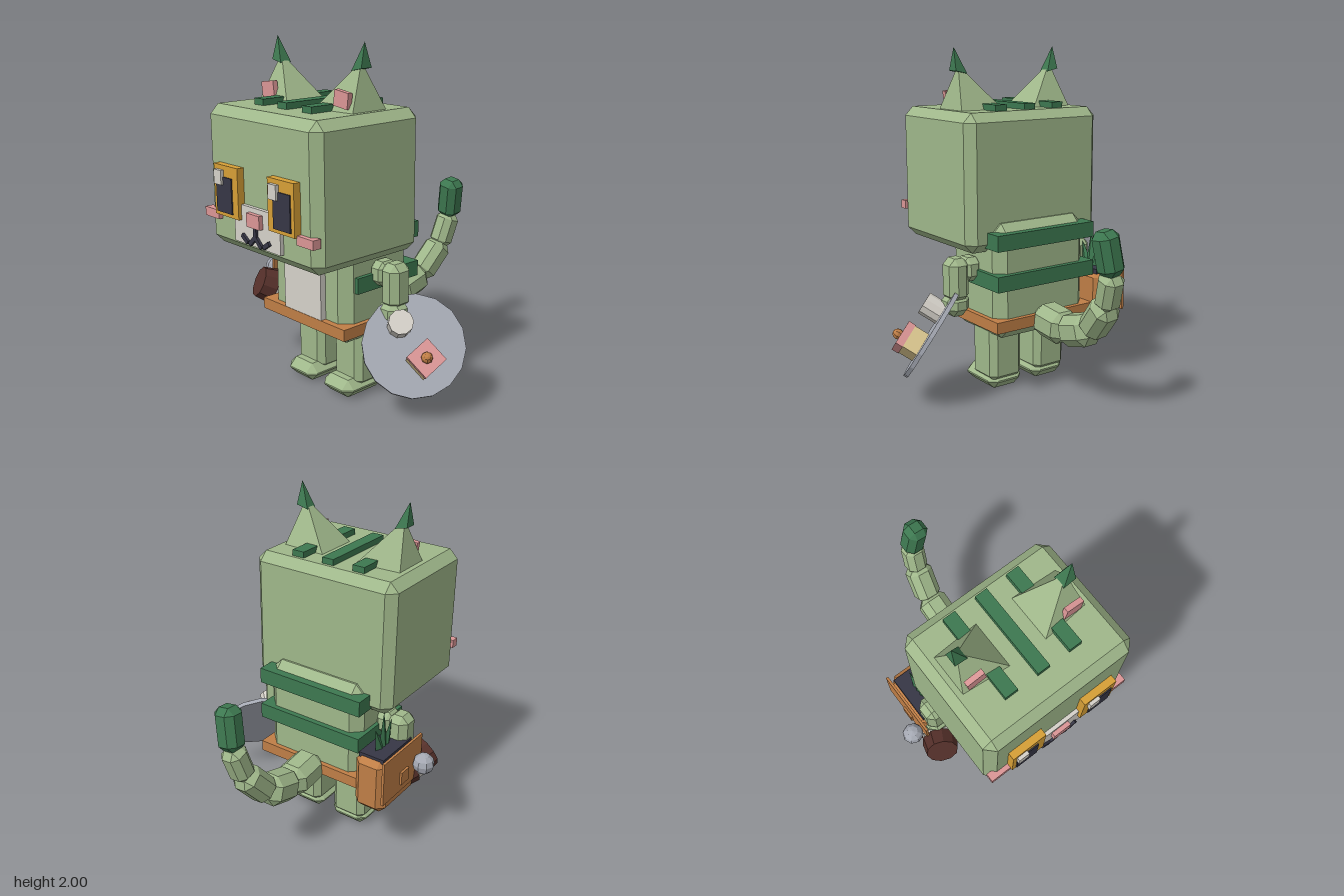
import * as THREE from 'three';
import { ConvexGeometry } from 'three/addons/geometries/ConvexGeometry.js';

const CX = -0.085; // symmetry plane of the body
const mat = (name, color) => {
  const m = new THREE.MeshStandardMaterial({ color, flatShading: true });
  m.name = name;
  return m;
};
const V = (x, y, z) => new THREE.Vector3(x, y, z);
const UP = V(0, 1, 0);

// Box with all edges chamfered by c
function chamferBox(w, h, d, c) {
  const pts = [];
  for (const x of [-1, 1]) for (const y of [-1, 1]) for (const z of [-1, 1]) {
    const [a, b, e] = [w / 2, h / 2, d / 2];
    pts.push(V(x * a, y * (b - c), z * (e - c)), V(x * (a - c), y * b, z * (e - c)), V(x * (a - c), y * (b - c), z * e));
  }
  return new ConvexGeometry(pts);
}

export function createModel() {
  const root = new THREE.Group();
  const green = mat('sageGreen', 0x9fb78a), dark = mat('forestGreen', 0x3d7850);
  const cream = mat('cream', 0xd5d1c9), gold = mat('gold', 0xd69f36);
  const ink = mat('ink', 0x363645), pink = mat('pink', 0xdb9696);
  const leather = mat('leather', 0xbf7e46), brown = mat('darkBrown', 0x55302a);
  const grey = mat('grey', 0xa5a9b3), tan = mat('sponge', 0xdcc890);

  const add = (name, geo, m, x = 0, y = 0, z = 0, parent = root) => {
    const mesh = new THREE.Mesh(geo, m);
    mesh.name = name;
    mesh.position.set(x, y, z);
    parent.add(mesh);
    return mesh;
  };
  // Boxes given by their limits
  const span = (name, m, x0, x1, y0, y1, z0, z1, c = 0) => add(name,
    c ? chamferBox(x1 - x0, y1 - y0, z1 - z0, c) : new THREE.BoxGeometry(x1 - x0, y1 - y0, z1 - z0),
    m, (x0 + x1) / 2, (y0 + y1) / 2, (z0 + z1) / 2);
  // The same box on both sides of the symmetry plane
  const pair = (name, m, x0, x1, ...rest) => {
    span(name + 'Right', m, x0, x1, ...rest);
    span(name + 'Left', m, 2 * CX - x1, 2 * CX - x0, ...rest);
  };

  // Head and face
  span('head', green, -0.548, 0.378, 0.866, 1.65, -0.015, 0.728, 0.052);
  span('muzzle', cream, -0.278, 0.113, 0.935, 1.147, 0.7, 0.75);
  span('nose', pink, -0.14, -0.03, 1.045, 1.12, 0.72, 0.775);
  pair('cheek', pink, -0.548, -0.42, 1.025, 1.075, 0.705, 0.755);
  pair('eyeFrame', gold, -0.425, -0.213, 1.062, 1.343, 0.7, 0.77);
  pair('pupil', ink, -0.4, -0.262, 1.083, 1.28, 0.765, 0.777);
  for (const x of [-0.4, 0.072]) span('eyeHighlight', cream, x, x + 0.064, 1.237, 1.317, 0.765, 0.79);
  span('mouthStem', ink, CX - 0.012, CX + 0.012, 0.98, 1.05, 0.745, 0.765);
  for (const s of [-1, 1]) {
    add('mouthInner', new THREE.BoxGeometry(0.065, 0.024, 0.02), ink, CX + s * 0.028, 0.966, 0.755).rotation.z = -s * 0.75;
    add('mouthOuter', new THREE.BoxGeometry(0.06, 0.024, 0.02), ink, CX + s * 0.092, 0.967, 0.755).rotation.z = s * 0.6;
  }

  // Crown stripes
  span('crownStripe', dark, -0.122, -0.048, 1.62, 1.685, 0.055, 0.56);
  pair('sideCrownStripe', dark, -0.322, -0.246, 1.62, 1.685, 0.055, 0.56);

  // Ears: leaning pyramids with dark tips
  for (const s of [-1, 1]) {
    const base = (x, z) => V(CX + s * x, 1.635, z);
    add('ear', new ConvexGeometry([base(0.385, 0.17), base(0.1, 0.155), base(0.1, 0.445), base(0.385, 0.42),
      V(CX + s * 0.325, 1.9, 0.298)]), green);
    const tip = [[-1, -1], [-1, 1], [1, -1], [1, 1]].map(([a, b]) => V(CX + s * (0.325 + a * 0.037), 1.86 + a * 0.008, 0.298 + b * 0.037));
    add('earTip', new ConvexGeometry([...tip, V(CX + s * 0.352, 2.0, 0.3)]), dark);
    add('innerEar', new THREE.BoxGeometry(0.105, 0.085, 0.03), pink, CX + s * 0.3, 1.715, 0.405).rotation.z = -s * 0.13;
  }

  // Torso
  span('body', green, -0.405, 0.238, 0.357, 1.03, -0.088, 0.42, 0.062);
  span('belly', cream, -0.235, 0.077, 0.45, 0.9, 0.4, 0.455);
  span('belt', leather, -0.435, 0.267, 0.42, 0.486, -0.117, 0.457);
  for (const [y0, y1] of [[0.66, 0.75], [0.893, 0.985]]) span('bodyStripe', dark, -0.428, 0.262, y0, y1, -0.12, 0.348);

  // Legs, feet, arms
  pair('leg', green, -0.357, -0.135, 0.05, 0.42, 0.05, 0.278, 0.036);
  pair('foot', green, -0.362, -0.12, 0, 0.105, 0.055, 0.368, 0.048);
  pair('shoulder', green, -0.505, -0.385, 0.68, 0.82, 0.095, 0.235, 0.035);
  pair('arm', green, -0.597, -0.468, 0.57, 0.825, 0.09, 0.237, 0.038);
  pair('hand', green, -0.605, -0.455, 0.48, 0.62, 0.1, 0.25, 0.045);

  // Tail: chamfered segments along a bent path
  const path = [[-0.085, 0.455, -0.08], [-0.087, 0.43, -0.305], [-0.083, 0.49, -0.515], [-0.055, 0.665, -0.665], [-0.035, 0.845, -0.722], [0.005, 1.088, -0.7]]
    .map(p => V(...p));
  const widths = [0.19, 0.18, 0.155, 0.13, 0.135];
  widths.forEach((w, i) => {
    const dir = path[i + 1].clone().sub(path[i]), mid = path[i].clone().lerp(path[i + 1], 0.5);
    const len = dir.length() + (i < 4 ? 0.025 : 0);
    const seg = add(i < 4 ? 'tailSegment' : 'tailTip', chamferBox(w, len, w, w * 0.27), i < 4 ? green : dark, mid.x, mid.y, mid.z);
    seg.quaternion.setFromUnitVectors(UP, dir.normalize());
  });

  // Hip bag with flap, buckle and leafy sprig
  span('bag', leather, -0.625, -0.425, 0.335, 0.68, -0.168, 0.2, 0.042);
  span('bagOpening', ink, -0.605, -0.445, 0.66, 0.688, -0.135, 0.165);
  span('bagFlap', leather, -0.635, -0.62, 0.42, 0.692, -0.172, 0.235);
  span('bagBuckle', leather, -0.648, -0.63, 0.47, 0.55, 0, 0.08);
  for (const [z, h, tilt] of [[0, 0.24, 0], [-0.055, 0.17, -0.35], [0.055, 0.17, 0.35]]) {
    const leaf = add('leaf', new THREE.ConeGeometry(0.05, h, 4), dark, -0.515, 0.66 + h / 2, z);
    leaf.scale.x = 0.4;
    leaf.rotation.x = tilt;
  }

  // Small barrel with a pale band, and a round knob
  const barrel = new THREE.Group();
  barrel.name = 'barrel';
  barrel.position.set(-0.568, 0.462, 0.255);
  barrel.quaternion.setFromUnitVectors(UP, V(-0.38, 0.42, 0.82).normalize());
  root.add(barrel);
  add('barrelFront', new THREE.CylinderGeometry(0.095, 0.11, 0.09, 10), brown, 0, 0.075, 0, barrel);
  add('barrelBand', new THREE.CylinderGeometry(0.1, 0.1, 0.06, 10), cream, 0, 0, 0, barrel);
  add('barrelBack', new THREE.CylinderGeometry(0.11, 0.095, 0.08, 10), brown, 0, -0.07, 0, barrel);
  add('knob', new THREE.SphereGeometry(0.064, 8, 6), grey, -0.692, 0.547, 0.165);

  // Tilted tray carrying a cup and a cake
  const tray = new THREE.Group();
  tray.name = 'tray';
  const n = V(0.65, 0.53, 0.55).normalize();
  const trayPos = V(0.52, 0.395, 0.18);
  tray.position.copy(trayPos);
  tray.quaternion.setFromUnitVectors(UP, n);
  root.add(tray);
  const local = p => p.sub(trayPos).applyQuaternion(tray.quaternion.clone().invert());
  add('plate', new THREE.CylinderGeometry(0.283, 0.283, 0.025, 16), grey, 0, 0, 0, tray);
  const c = local(V(0.695, 0.41, 0.265));
  add('cake', new THREE.BoxGeometry(0.14, 0.1, 0.14), tan, c.x, 0.055, c.z, tray);
  add('icing', new THREE.BoxGeometry(0.148, 0.045, 0.148), pink, c.x, 0.125, c.z, tray);
  add('cherry', new THREE.SphereGeometry(0.032, 8, 6), leather, c.x, 0.162, c.z, tray);
  const k = local(V(0.48, 0.53, 0.245));
  add('cup', new THREE.CylinderGeometry(0.068, 0.068, 0.12, 10), cream, k.x, 0.07, k.z, tray);

  return root;
}
